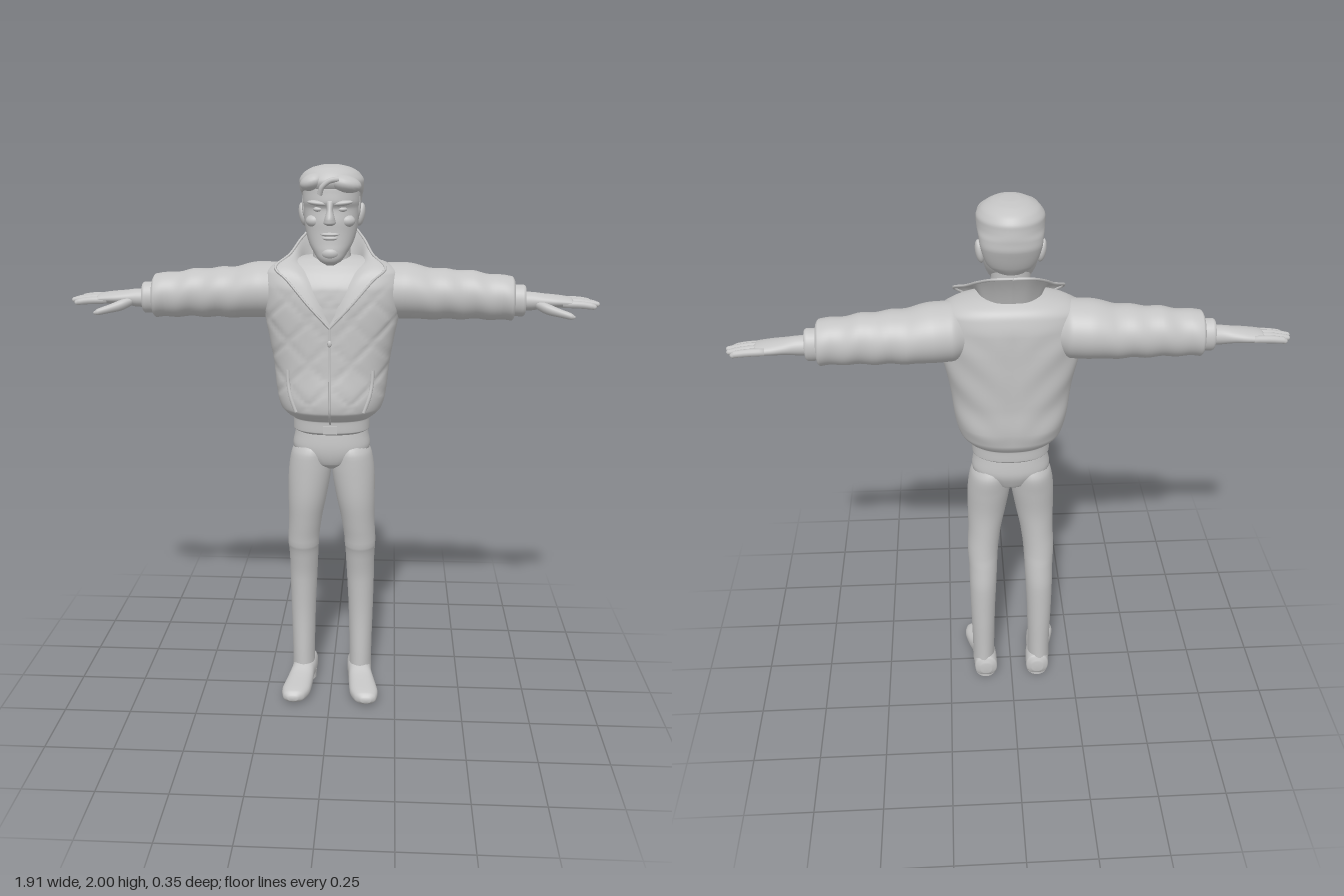
import * as THREE from 'three';

const grey = new THREE.MeshStandardMaterial({ color: 0xc4c4c4, side: THREE.DoubleSide });
grey.name = 'plain grey';

// Smooth monotone interpolation of section rows [t, a, b, ra, rb] at t.
function sample(rows, t) {
  let i = 0;
  while (i < rows.length - 2 && t > rows[i + 1][0]) i++;
  const slope = (k, c) => (rows[k + 1][c] - rows[k][c]) / (rows[k + 1][0] - rows[k][0]);
  const tangent = (k, c) => {
    if (k === 0) return slope(0, c);
    if (k === rows.length - 1) return slope(k - 1, c);
    const p = slope(k - 1, c), q = slope(k, c);
    return p * q <= 0 ? 0 : (2 * p * q) / (p + q);
  };
  const h = rows[i + 1][0] - rows[i][0], s = (t - rows[i][0]) / h;
  return [1, 2, 3, 4].map((c) =>
    rows[i][c] * (1 + 2 * s) * (1 - s) ** 2 + tangent(i, c) * h * s * (1 - s) ** 2 +
    rows[i + 1][c] * s * s * (3 - 2 * s) + tangent(i + 1, c) * h * s * s * (s - 1));
}

// Closed body through elliptical sections along an axis.
// Rows hold (y; x, z), (x; z, y) or (z; y, x) centres and then radii.
function loft(rows, axis = 'y', { power = 2, seg = 32, sub = 5, bump } = {}) {
  const pos = [], idx = [], place = {
    y: (t, a, b) => [a, t, b], x: (t, a, b) => [t, b, a], z: (t, a, b) => [b, a, t],
  }[axis];
  const ts = [];
  rows.forEach((r, i) => {
    if (i) for (let k = 1; k <= sub; k++) ts.push(rows[i - 1][0] + (r[0] - rows[i - 1][0]) * k / sub);
    else ts.push(r[0]);
  });
  const bend = (v) => Math.sign(v) * Math.abs(v) ** (2 / power);
  for (const t of ts) {
    const [a, b, ra, rb] = sample(rows, t);
    for (let j = 0; j < seg; j++) {
      const w = (j / seg) * Math.PI * 2;
      const da = ra * bend(Math.cos(w)), db = rb * bend(Math.sin(w));
      const m = bump ? 1 + bump(t, da, db, w) : 1;
      pos.push(...place(t, a + da * m, b + db * m));
    }
  }
  for (let i = 0; i < ts.length - 1; i++) for (let j = 0; j < seg; j++) {
    const p = i * seg + j, q = i * seg + (j + 1) % seg;
    idx.push(p, p + seg, q, q, p + seg, q + seg);
  }
  const n = pos.length / 3, end = n - seg, first = rows[0], last = rows[rows.length - 1];
  pos.push(...place(first[0], first[1], first[2]), ...place(last[0], last[1], last[2]));
  for (let j = 0; j < seg; j++) {
    const k = (j + 1) % seg;
    idx.push(n, j, k, n + 1, end + k, end + j);
  }
  return build(pos, idx);
}

function build(pos, idx) {
  const g = new THREE.BufferGeometry();
  g.setAttribute('position', new THREE.Float32BufferAttribute(pos, 3));
  g.setIndex(idx);
  g.computeVertexNormals();
  return g;
}

function ball(x, y, z, rx, ry, rz, tilt = 0) {
  return new THREE.SphereGeometry(1, 20, 14).scale(rx, ry, rz).rotateZ(tilt).translate(x, y, z);
}

const curve = (pts) => new THREE.CatmullRomCurve3(pts.map((p) => new THREE.Vector3(...p)));
const tube = (pts, r) => new THREE.TubeGeometry(curve(pts), 24, r, 8);

// Mirror a geometry in x, keeping its faces outward.
function mirrored(g) {
  const m = g.clone().scale(-1, 1, 1), a = m.index.array;
  for (let i = 0; i < a.length; i += 3) [a[i], a[i + 1]] = [a[i + 1], a[i]];
  m.computeVertexNormals();
  return m;
}

const JACKET = [
  [1.055, 0, -0.012, 0.125, 0.095], [1.065, 0, -0.012, 0.14, 0.104], [1.105, 0, -0.012, 0.14, 0.106],
  [1.12, 0, -0.01, 0.158, 0.125], [1.15, 0, -0.004, 0.183, 0.148], [1.2, 0, -0.008, 0.197, 0.154],
  [1.3, 0, -0.014, 0.208, 0.147], [1.4, 0, -0.018, 0.225, 0.147], [1.5, 0, -0.02, 0.243, 0.147],
  [1.58, 0, -0.023, 0.248, 0.142], [1.63, 0, -0.03, 0.24, 0.125], [1.66, 0, -0.035, 0.2, 0.105],
  [1.68, 0, -0.035, 0.13, 0.075], [1.69, 0, -0.035, 0.06, 0.04],
];

// Point on the front of the jacket.
function onJacket(x, y) {
  const [, b, ra, rb] = sample(JACKET, y);
  return [x, y, b + rb * Math.max(0, 1 - Math.abs(x / ra) ** 2.3) ** (1 / 2.3)];
}

// Stitched diamonds on the chest, slanting folds on the back.
function quilt(y, x, z) {
  const fade = THREE.MathUtils.smoothstep(y, 1.13, 1.2) * (1 - THREE.MathUtils.smoothstep(y, 1.52, 1.62));
  if (z < 0) return fade * Math.min(1, -z * 12) * (
    0.012 * Math.sin((y - Math.abs(x) * 0.9) * 42) * Math.min(1, Math.abs(x) * 10)
    - 0.025 * Math.exp(-((x / 0.018) ** 2)));
  const line = (v) => Math.exp(-(((v - Math.round(v)) / 0.08) ** 2));
  return -0.022 * fade * Math.min(1, z * 12) * Math.max(line((y + x - 1.4) / 0.15), line((y - x - 1.4) / 0.15));
}

export function createModel() {
  const model = new THREE.Group();
  const add = (name, g) => {
    const mesh = new THREE.Mesh(g, grey);
    mesh.name = name;
    model.add(mesh);
  };
  const pair = (name, g) => {
    add(name + 'Left', g);
    add(name + 'Right', mirrored(g));
  };

  // Jacket body, zip and pockets
  add('jacketBody', loft(JACKET, 'y', { power: 2.3, seg: 80, sub: 9, bump: quilt }));
  add('zip', tube([1.1, 1.15, 1.2, 1.3, 1.4, 1.46].map((y) => onJacket(0, y)), 0.004));
  add('zipPull', ball(0, 1.4, 0.131, 0.008, 0.012, 0.006));
  pair('pocketEdge', tube([[0.15, 1.3], [0.148, 1.25], [0.138, 1.2], [0.12, 1.15]].map((p) => onJacket(...p)), 0.007));
  add('buckle', new THREE.BoxGeometry(0.05, 0.03, 0.012).translate(0, 1.078, 0.095));

  // Upturned collar: a sheet between neckline and outer edge
  const inner = curve([[0, 1.47, 0.125], [0.04, 1.55, 0.12], [0.075, 1.62, 0.1], [0.098, 1.66, 0.05],
    [0.102, 1.66, 0], [0.09, 1.65, -0.06], [0.05, 1.645, -0.092], [0, 1.645, -0.1]]);
  const outer = curve([[0, 1.455, 0.137], [0.07, 1.53, 0.138], [0.15, 1.62, 0.112], [0.19, 1.655, 0.085],
    [0.145, 1.695, 0.01], [0.108, 1.745, -0.08], [0.06, 1.783, -0.15], [0, 1.787, -0.158]]);
  const pos = [], idx = [], N = 40, M = 6;
  for (let i = 0; i <= N; i++) for (let j = 0; j <= M; j++) {
    const p = inner.getPoint(i / N).lerp(outer.getPoint(i / N), j / M);
    p.y += 0.012 * Math.sin((j / M) * Math.PI) * Math.min(1, i / 10);
    pos.push(p.x, p.y, p.z);
    if (i < N && j < M) {
      const a = i * (M + 1) + j, b = a + M + 1;
      idx.push(a, a + 1, b, b, a + 1, b + 1);
    }
  }
  pair('collar', build(pos, idx));
  pair('collarPiping', new THREE.TubeGeometry(outer, 48, 0.005, 6));

  // Sleeves, cuffs and hands
  pair('sleeve', loft([
    [0.15, -0.045, 1.56, 0.09, 0.08], [0.2, -0.052, 1.56, 0.112, 0.1], [0.26, -0.06, 1.56, 0.112, 0.1],
    [0.35, -0.062, 1.55, 0.102, 0.092], [0.5, -0.066, 1.545, 0.084, 0.086], [0.6, -0.063, 1.537, 0.078, 0.08],
    [0.64, -0.063, 1.535, 0.077, 0.08], [0.65, -0.063, 1.533, 0.068, 0.07], [0.652, -0.063, 1.53, 0.04, 0.045],
  ], 'x', { seg: 48, sub: 9, bump: (x, z, y, w) =>
    0.028 * Math.sin(x * 62 + 2 * Math.sin(w)) * THREE.MathUtils.smoothstep(x, 0.26, 0.42) }));
  pair('cuff', loft([[0.63, -0.063, 1.528, 0.046, 0.055], [0.68, -0.063, 1.527, 0.049, 0.057],
    [0.69, -0.063, 1.527, 0.044, 0.052], [0.691, -0.063, 1.527, 0.03, 0.03]], 'x'));
  pair('palm', loft([[0.66, -0.063, 1.525, 0.036, 0.034], [0.71, -0.063, 1.525, 0.036, 0.033],
    [0.76, -0.066, 1.526, 0.042, 0.026], [0.8, -0.068, 1.525, 0.046, 0.023],
    [0.85, -0.07, 1.523, 0.046, 0.017], [0.86, -0.07, 1.522, 0.035, 0.01]], 'x'));
  [0.935, 0.95, 0.955, 0.94].forEach((tip, k) => {
    const z = -0.106 + k * 0.0235, y = 1.522 - (k === 3 ? 0.006 : 0);
    pair('finger', loft([[0.82, z, y + 0.003, 0.011, 0.013], [0.87, z, y + 0.002, 0.0125, 0.0135],
      [0.92, z, y - 0.003, 0.0115, 0.012], [tip - 0.006, z, y - 0.006, 0.009, 0.009],
      [tip, z, y - 0.006, 0.003, 0.003]], 'x', { seg: 12, sub: 3 }));
  });
  pair('thumb', loft([[0.72, -0.045, 1.52, 0.014, 0.014], [0.76, -0.027, 1.505, 0.02, 0.02],
    [0.81, -0.01, 1.491, 0.015, 0.015], [0.845, -0.002, 1.482, 0.013, 0.012],
    [0.862, 0, 1.478, 0.004, 0.004]], 'x', { seg: 14 }));

  // Trousers
  add('hips', loft([[0.915, 0, -0.01, 0.03, 0.05], [0.94, 0, -0.01, 0.095, 0.083], [1, 0, -0.014, 0.143, 0.099],
    [1.05, 0, -0.014, 0.134, 0.095], [1.08, 0, -0.014, 0.13, 0.09]], 'y', { power: 2.2 }));
  pair('trouserLeg', loft([[0.055, 0.112, -0.045, 0.03, 0.045], [0.06, 0.112, -0.045, 0.044, 0.064],
    [0.1, 0.112, -0.045, 0.043, 0.063], [0.3, 0.112, -0.05, 0.047, 0.06], [0.45, 0.11, -0.047, 0.052, 0.064],
    [0.55, 0.108, -0.033, 0.055, 0.067], [0.6, 0.108, -0.023, 0.058, 0.069], [0.7, 0.1, -0.01, 0.062, 0.075],
    [0.8, 0.09, -0.003, 0.072, 0.083], [0.9, 0.081, -0.008, 0.079, 0.092], [0.97, 0.076, -0.013, 0.073, 0.097],
    [1.03, 0.06, -0.014, 0.05, 0.07]], 'y', {
    bump: (y, x, z) => (z > 0 ? 0.05 * Math.min(1, z * 30) * Math.exp(-(((y - 0.605) / 0.015) ** 2)) : 0) }));

  // Shoes
  pair('shoe', loft([[-0.115, 0.05, 0.105, 0.025, 0.022], [-0.1, 0.053, 0.105, 0.05, 0.045],
    [-0.04, 0.056, 0.108, 0.05, 0.047], [0, 0.056, 0.112, 0.042, 0.045], [0.05, 0.043, 0.12, 0.036, 0.05],
    [0.11, 0.034, 0.13, 0.032, 0.054], [0.155, 0.031, 0.137, 0.025, 0.042], [0.175, 0.03, 0.14, 0.01, 0.018],
  ], 'z', { power: 2.4 }));
  pair('heel', new THREE.CylinderGeometry(0.043, 0.042, 0.03, 24).scale(1, 1, 1.1).translate(0.106, 0.015, -0.062));

  // Neck and head
  add('neck', loft([[1.5, 0, 0.03, 0.05, 0.07], [1.6, 0, 0.01, 0.075, 0.09], [1.66, 0, -0.015, 0.068, 0.073],
    [1.75, 0, -0.02, 0.065, 0.068], [1.8, 0, -0.03, 0.06, 0.06]]));
  add('head', loft([[1.665, 0, 0.075, 0.012, 0.012], [1.68, 0, 0.07, 0.038, 0.034], [1.71, 0, 0.05, 0.06, 0.06],
    [1.74, 0, 0.03, 0.077, 0.077], [1.78, 0, 0.01, 0.089, 0.095], [1.82, 0, 0, 0.095, 0.105],
    [1.855, 0, -0.005, 0.098, 0.106], [1.88, 0, -0.006, 0.1, 0.119], [1.92, 0, -0.01, 0.1, 0.12],
    [1.95, 0, -0.01, 0.09, 0.105], [1.98, 0, -0.01, 0.06, 0.07]], 'y', { power: 2.15, seg: 40 }));
  add('nose', loft([[1.802, 0, 0.105, 0.01, 0.012], [1.811, 0, 0.113, 0.021, 0.034], [1.825, 0, 0.113, 0.018, 0.035],
    [1.855, 0, 0.103, 0.011, 0.024], [1.885, 0, 0.1, 0.014, 0.014]], 'y', { seg: 20 }));
  add('upperLip', ball(0, 1.772, 0.1, 0.032, 0.007, 0.014));
  add('lowerLip', ball(0, 1.759, 0.099, 0.027, 0.008, 0.014));
  add('chin', ball(0, 1.708, 0.092, 0.033, 0.023, 0.023));
  // Tilted features are shaped around the origin, then moved into place
  pair('brow', ball(0.042, 1.876, 0.1, 0.036, 0.009, 0.014, 0.12));
  pair('eye', ball(0.04, 1.855, 0.087, 0.018, 0.009, 0.013));
  pair('cheek', ball(0.055, 1.815, 0.07, 0.03, 0.022, 0.025));
  pair('ear', ball(0.101, 1.83, -0.026, 0.015, 0.04, 0.024, -0.15));

  // Swept hair
  add('hair', loft([[1.765, 0, -0.05, 0.04, 0.035], [1.8, 0, -0.06, 0.08, 0.05], [1.86, 0, -0.065, 0.1, 0.07],
    [1.895, 0, -0.05, 0.106, 0.088], [1.92, 0, -0.015, 0.111, 0.122], [1.945, 0, -0.008, 0.112, 0.127],
    [1.97, 0, -0.008, 0.098, 0.113], [1.99, 0, -0.005, 0.066, 0.08], [1.999, 0, 0, 0.03, 0.035]], 'y', { seg: 48 }));
  add('sweptHair', ball(0.045, 1.94, 0.08, 0.062, 0.03, 0.045, -0.2));
  add('sideHair', ball(-0.06, 1.945, 0.075, 0.045, 0.028, 0.042, 0.35));
  add('forelock', tube([[0.03, 1.955, 0.115], [0, 1.95, 0.12], [-0.025, 1.93, 0.12], [-0.034, 1.905, 0.114]], 0.009));
  pair('sideburn', ball(0.094, 1.865, 0.012, 0.008, 0.04, 0.016));
  return model;
}
